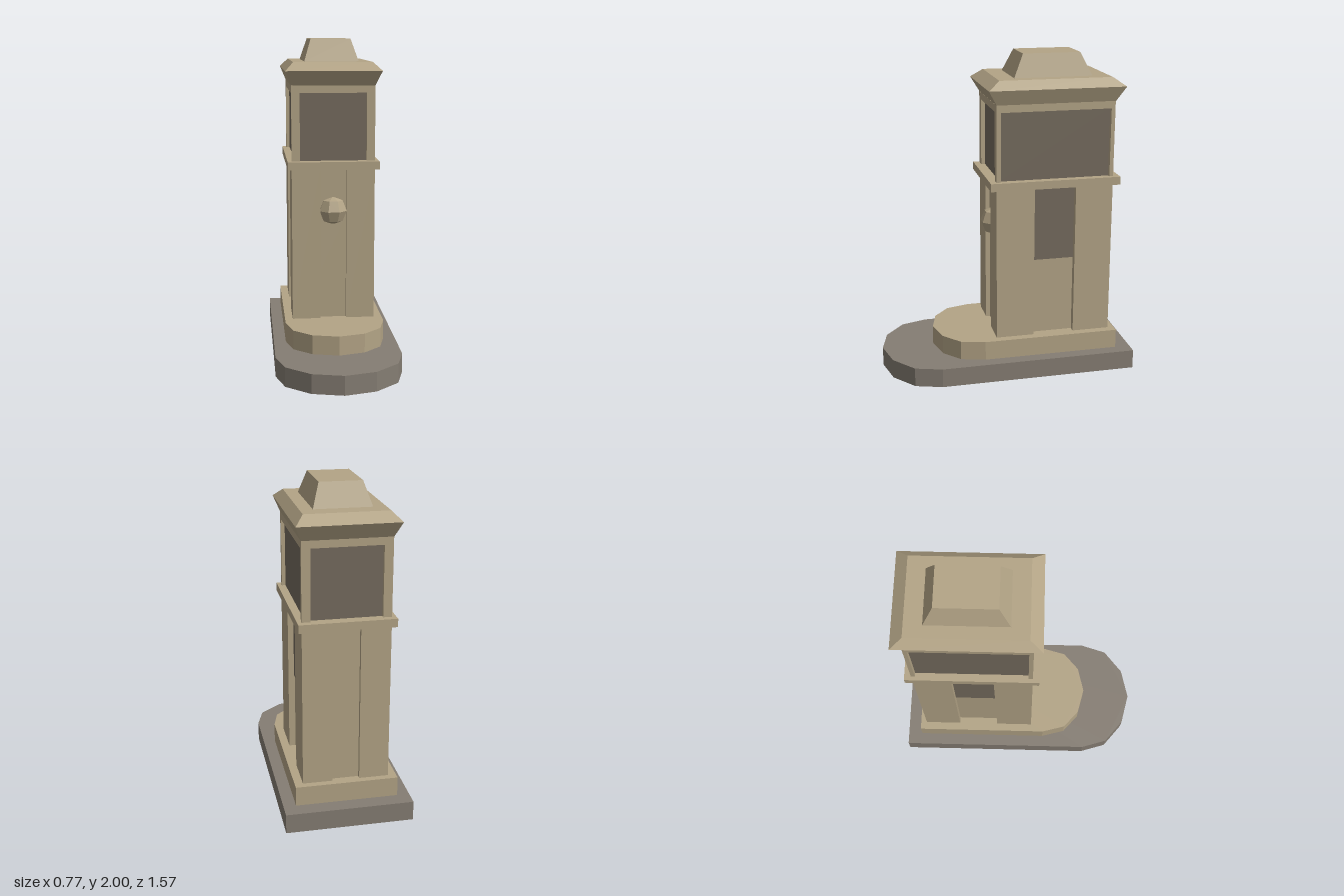
import * as THREE from 'three';

const stone = new THREE.MeshStandardMaterial({ color: 0xb3a486, flatShading: true, side: THREE.DoubleSide });
const slabGrey = new THREE.MeshStandardMaterial({ color: 0x857d73, flatShading: true, side: THREE.DoubleSide });
const dark = new THREE.MeshStandardMaterial({ color: 0x756b5e, flatShading: true });

const CZ = -0.285; // tower axis

export function createModel() {
  const model = new THREE.Group();

  const add = (name, geometry, material = stone) => {
    const mesh = new THREE.Mesh(geometry, material);
    mesh.name = name;
    model.add(mesh);
    return mesh;
  };

  // box given by its limits
  const block = (name, x0, x1, y0, y1, z0, z1, material) => {
    const g = new THREE.BoxGeometry(x1 - x0, y1 - y0, z1 - z0);
    g.translate((x0 + x1) / 2, (y0 + y1) / 2, (z0 + z1) / 2);
    return add(name, g, material);
  };

  // rectangular frustum around the tower axis
  const frustum = (name, y0, hx0, hz0, y1, hx1, hz1) => {
    const g = new THREE.BoxGeometry(2, 1, 2);
    const p = g.attributes.position;
    for (let i = 0; i < p.count; i++) {
      const top = p.getY(i) > 0;
      p.setXYZ(i, p.getX(i) * (top ? hx1 : hx0), top ? y1 : y0, CZ + p.getZ(i) * (top ? hz1 : hz0));
    }
    g.computeVertexNormals();
    return add(name, g);
  };

  // slab with a square back and faceted round front, open underneath
  const roundedSlab = (name, half, y0, y1, material) => {
    const mirrored = half.filter(([x]) => x > 0).reverse().map(([x, z]) => [-x, z]);
    const shape = new THREE.Shape([...half, ...mirrored].map(([x, z]) => new THREE.Vector2(x, z)));
    const g = new THREE.ExtrudeGeometry(shape, { depth: y1 - y0, bevelEnabled: false });
    const lids = g.groups[0].count * 3;
    const pos = Array.from(g.attributes.position.array);
    pos.splice(lids / 2, lids / 2); // drop the lower lid
    const open = new THREE.BufferGeometry();
    open.setAttribute('position', new THREE.Float32BufferAttribute(pos, 3));
    open.rotateX(Math.PI / 2).translate(0, y1, 0);
    open.computeVertexNormals();
    return add(name, open, material);
  };

  // base and plinth
  roundedSlab('baseSlab', [[0.385, -0.785], [0.385, 0.45], [0.335, 0.615], [0.19, 0.735], [0, 0.78]], 0, 0.12, slabGrey);
  roundedSlab('plinth', [[0.31, -0.69], [0.31, 0.165], [0.27, 0.315], [0.16, 0.412], [0, 0.452]], 0.12, 0.24);

  // recessed shaft core with four corner piers
  block('shaftCore', -0.22, 0.22, 0.24, 1.2, -0.625, 0.055);
  for (const s of [-1, 1]) {
    const [x0, x1] = s > 0 ? [0.082, 0.26] : [-0.26, -0.082];
    block('cornerPier', x0, x1, 0.24, 1.2, -0.155, 0.083);
    block('cornerPier', x0, x1, 0.24, 1.2, -0.65, -0.415);
    // dark opening in the side recess
    block('sideWindow', s * 0.222 - 0.003, s * 0.222 + 0.003, 0.73, 1.2, -0.415, -0.155, dark);
  }

  // ledge between shaft and lantern room
  block('ledge', -0.285, 0.285, 1.203, 1.253, -0.69, 0.122);

  // lantern room: dark panes behind corner posts and a head band
  block('upperWindows', -0.237, 0.237, 1.253, 1.675, -0.625, 0.058, dark);
  for (const s of [-1, 1]) {
    const [x0, x1] = s > 0 ? [0.208, 0.26] : [-0.26, -0.208];
    block('upperPost', x0, x1, 1.253, 1.675, 0.057, 0.083);
    block('upperPost', x0, x1, 1.253, 1.675, -0.65, -0.626);
  }
  block('headBand', -0.26, 0.26, 1.675, 1.72, -0.65, 0.083);

  // flared cornice, sloped roof and cap
  frustum('cornice', 1.72, 0.26, 0.367, 1.81, 0.297, 0.42);
  frustum('roof', 1.81, 0.297, 0.42, 1.862, 0.245, 0.347);
  frustum('roofCap', 1.862, 0.17, 0.241, 2.0, 0.126, 0.178);

  // faceted lamp on the front
  const lamp = add('frontLamp', new THREE.SphereGeometry(0.092, 8, 4).rotateY(Math.PI / 8));
  lamp.position.set(0, 0.935, 0.04);

  return model;
}
